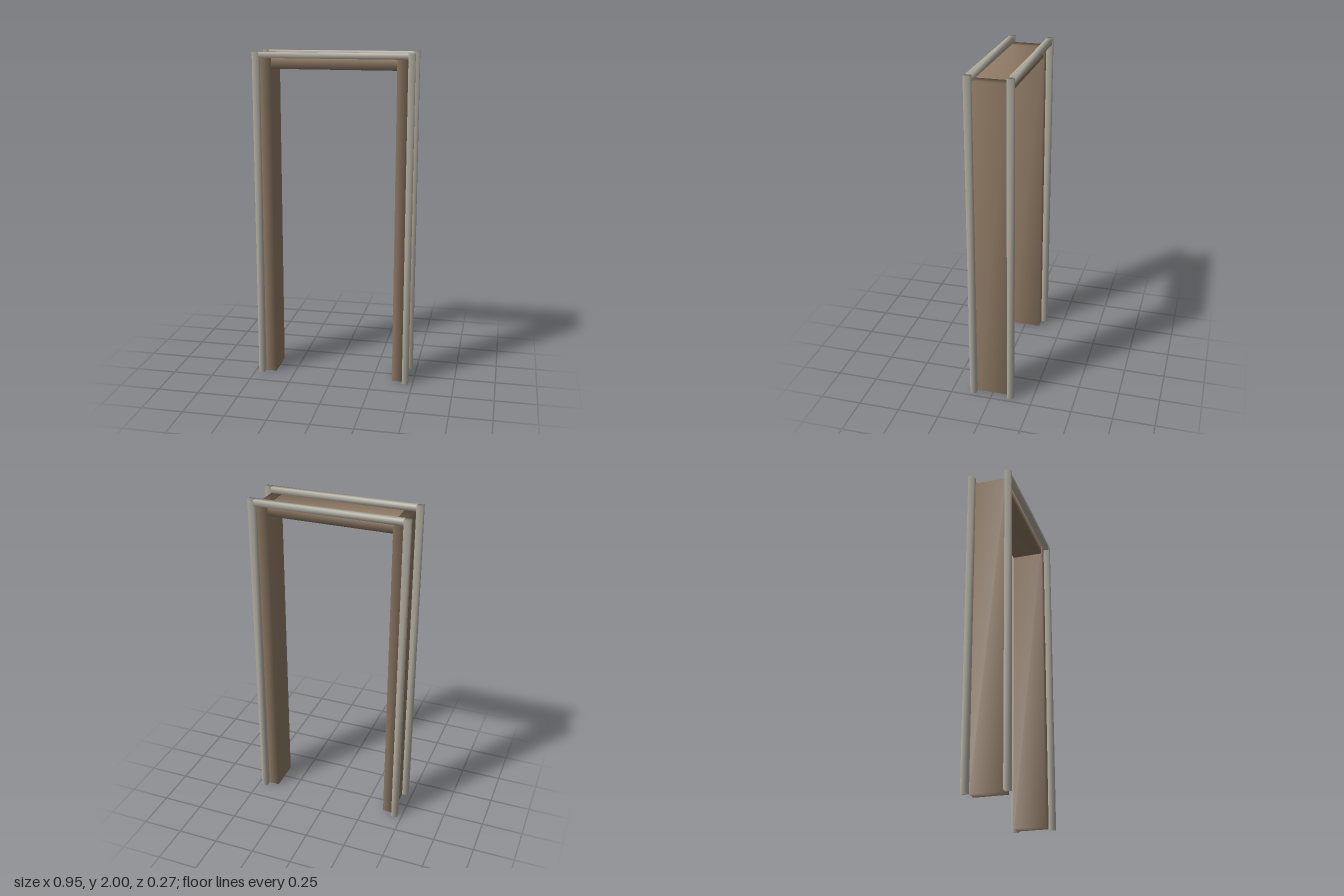
import * as THREE from 'three';
import { mergeVertices } from 'three/addons/utils/BufferGeometryUtils.js';

const wood = new THREE.MeshStandardMaterial({ color: 0x8f7a64 });
const trim = new THREE.MeshStandardMaterial({ color: 0xb3afa2 });

// Box given by its extents, with normals shared across its corners
function softBox(name, material, [x0, x1], [y0, y1], [z0, z1]) {
  let geometry = new THREE.BoxGeometry(x1 - x0, y1 - y0, z1 - z0);
  geometry.deleteAttribute('normal');
  geometry.deleteAttribute('uv');
  geometry = mergeVertices(geometry);
  geometry.computeVertexNormals();
  const mesh = new THREE.Mesh(geometry, material);
  mesh.name = name;
  mesh.position.set((x0 + x1) / 2, (y0 + y1) / 2, (z0 + z1) / 2);
  return mesh;
}

const span = (side, a, b) => (side > 0 ? [a, b] : [-b, -a]);

export function createModel() {
  const group = new THREE.Group();
  group.name = 'doorFrame';

  const inner = 0.37, outer = 0.437, edge = 0.474; // half widths
  const lintelBottom = 1.902, lintelTop = 1.966, top = 2;
  const depth = 0.099, trimDepth = 0.136; // half depths

  // Wooden lining: two jambs and the lintel between them
  for (const side of [1, -1]) {
    group.add(softBox(side > 0 ? 'leftJamb' : 'rightJamb', wood,
      span(side, inner, outer), [0, lintelTop], [-depth, depth]));
  }
  group.add(softBox('lintel', wood, [-inner, inner], [lintelBottom, lintelTop], [-depth, depth]));

  // Slim trim around the opening, front and back
  for (const face of [1, -1]) {
    const prefix = face > 0 ? 'front' : 'back';
    const z = span(face, depth, trimDepth);
    for (const side of [1, -1]) {
      group.add(softBox(prefix + (side > 0 ? 'LeftTrim' : 'RightTrim'), trim,
        span(side, outer, edge), [0, top], z));
    }
    group.add(softBox(prefix + 'TopTrim', trim, [-outer, outer], [lintelTop, top], z));
  }
  return group;
}
